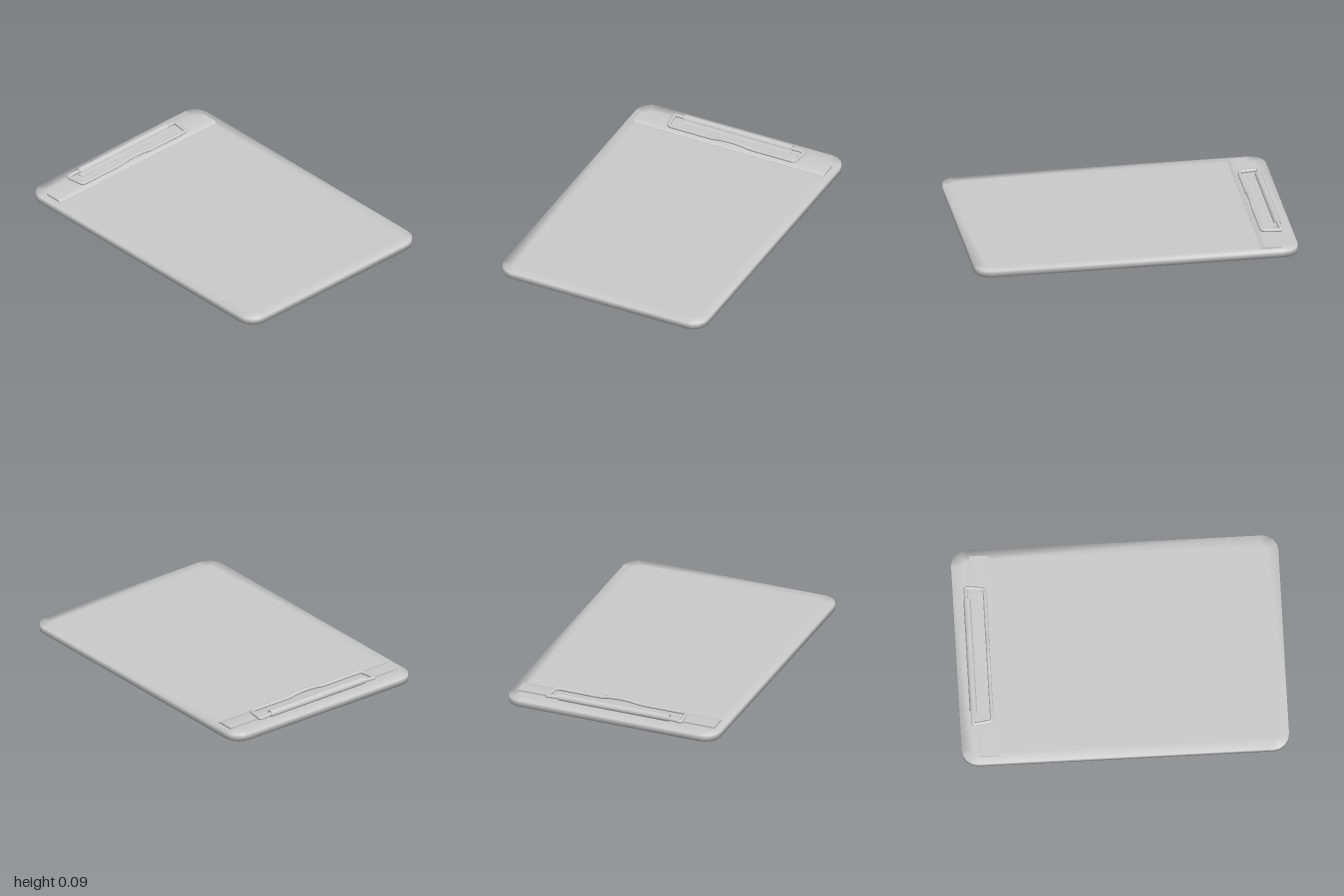
import * as THREE from 'three';
import { toCreasedNormals } from 'three/addons/utils/BufferGeometryUtils.js';

const grey = new THREE.MeshStandardMaterial({ color: 0xcccccc });

function part(name, geometry) {
  const mesh = new THREE.Mesh(geometry, grey);
  mesh.name = name;
  return mesh;
}

// Rounded slab with soft shading along its rim
function boardGeometry(halfX, halfZ, height, radius, inset, steps = 4) {
  const pos = [], index = [];
  const corners = [[1, 1], [-1, 1], [-1, -1], [1, -1]];
  const rings = [[inset, 0], [0, 0], [0, height], [inset, height]];
  for (const [shrink, y] of rings) {
    const r = radius - shrink;
    corners.forEach(([sx, sz], c) => {
      for (let i = 0; i <= steps; i++) {
        const a = (c + i / steps) * Math.PI / 2;
        pos.push(sx * (halfX - radius) + r * Math.cos(a), y, sz * (halfZ - radius) + r * Math.sin(a));
      }
    });
  }
  const n = 4 * (steps + 1);
  for (let k = 0; k < rings.length - 1; k++) {
    for (let i = 0; i < n; i++) {
      const j = (i + 1) % n, a = k * n + i, b = k * n + j;
      index.push(a, a + n, b, b, a + n, b + n);
    }
  }
  // Flat middles of the underside and the top
  const low = 4 * n, high = low + 1;
  pos.push(0, 0, 0, 0, height, 0);
  for (let i = 0; i < n; i++) {
    const j = (i + 1) % n;
    index.push(low, i, j, high, 3 * n + j, 3 * n + i);
  }
  const g = new THREE.BufferGeometry();
  g.setAttribute('position', new THREE.Float32BufferAttribute(pos, 3));
  g.setIndex(index);
  g.computeVertexNormals();
  return g;
}

// Extrudes a (z, y) outline across the width, centred on x = 0
function acrossX(points, width) {
  const shape = new THREE.Shape(points.map(([z, y]) => new THREE.Vector2(z, y)));
  const g = new THREE.ExtrudeGeometry(shape, { depth: width, bevelEnabled: false });
  g.translate(0, 0, -width / 2);
  g.rotateY(-Math.PI / 2);
  return toCreasedNormals(g, 0.7);
}

// Sheet metal tab that curls up and over the wire
function curlGeometry() {
  const cz = -0.915, cy = 0.0725, outer = 0.0225, inner = 0.0165, steps = 18;
  const pts = [[-0.87, 0.056], [-0.87, 0.05]];
  const arc = (r, t) => {
    const a = -Math.PI / 2 - t * Math.PI * 1.5;
    return [cz + r * Math.cos(a), cy + r * Math.sin(a)];
  };
  for (let i = 0; i <= steps; i++) pts.push(arc(outer, i / steps));
  for (let i = steps; i >= 0; i--) pts.push(arc(inner, i / steps));
  return acrossX(pts, 0.73);
}

// Wire bail: a loop with rounded corners and a raised thumb hump in front
function wireGeometry() {
  const y = 0.0665;
  const half = [
    [0.04, 0.078, -0.805], [0.08, 0.0745, -0.805], [0.12, 0.068, -0.805], [0.16, y, -0.805],
    [0.28, y, -0.805], [0.4, y, -0.805], [0.417, y, -0.807], [0.427, y, -0.813], [0.432, y, -0.827],
    [0.437, y, -0.865], [0.442, y, -0.905], [0.443, y, -0.917], [0.438, y, -0.922],
    [0.42, y + 0.002, -0.922], [0.37, 0.07, -0.92], [0.2, 0.07, -0.918]
  ];
  const mirrored = half.map(([x, h, z]) => [-x, h, z]).reverse();
  const pts = [[0, 0.079, -0.805], ...half, ...mirrored].map(p => new THREE.Vector3(...p));
  const curve = new THREE.CatmullRomCurve3(pts, true, 'centripetal');
  return new THREE.TubeGeometry(curve, 320, 0.0115, 12, true);
}

export function createModel() {
  const clipboard = new THREE.Group();
  clipboard.name = 'clipboard';

  clipboard.add(part('board', boardGeometry(0.695, 1, 0.042, 0.1, 0.07)));

  // Clip assembly near the back edge
  const clip = new THREE.Group();
  clip.name = 'clip';
  const plateOutline = [
    [-0.889, 0.04], [-0.77, 0.04], [-0.77, 0.044], [-0.778, 0.047],
    [-0.787, 0.052], [-0.8, 0.055], [-0.889, 0.055]
  ];
  clip.add(
    part('clipPlate', acrossX(plateOutline, 1.3)),
    part('clipCurl', curlGeometry()),
    part('clipWire', wireGeometry())
  );
  clipboard.add(clip);
  return clipboard;
}
